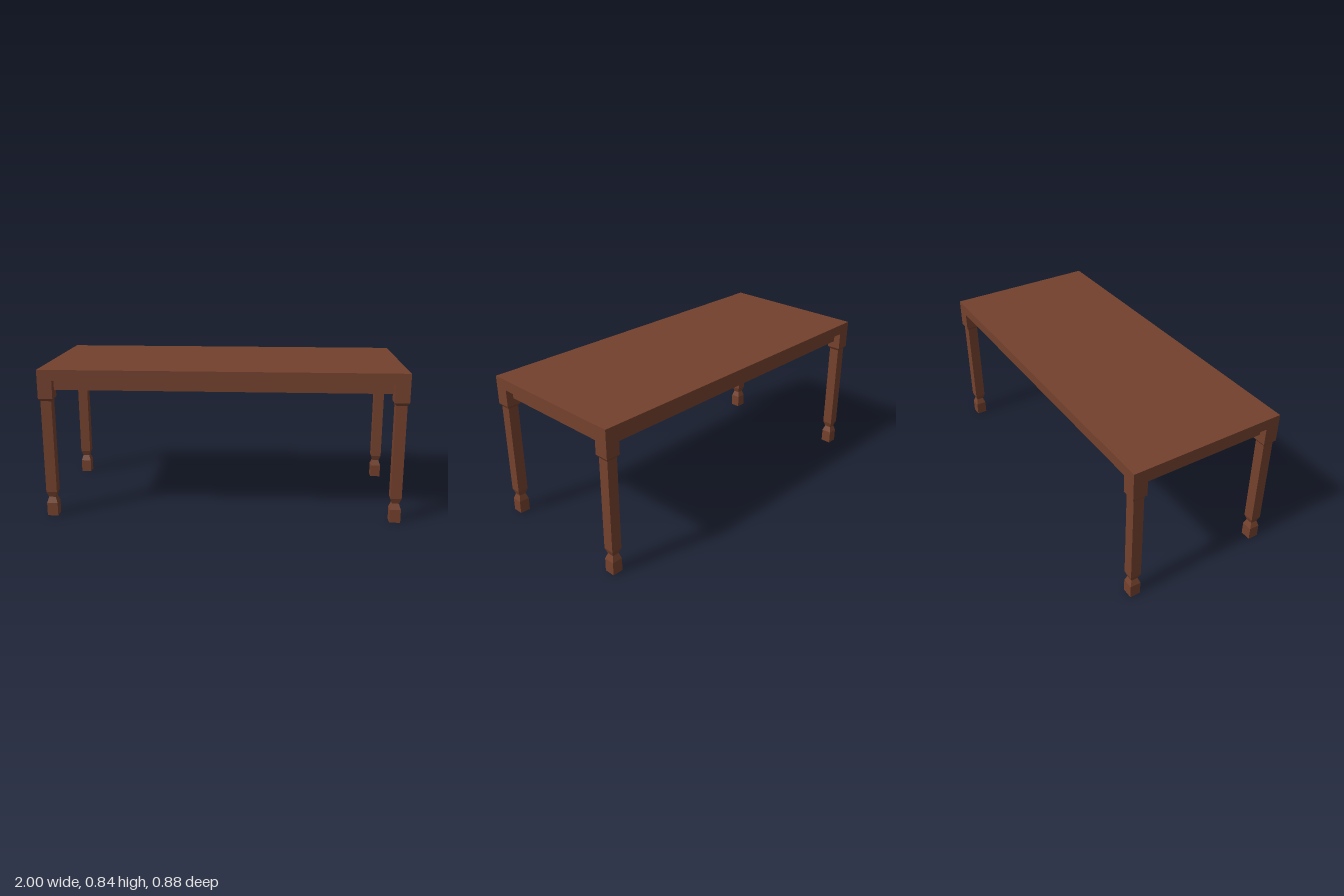
import * as THREE from 'three';

export function createModel() {
  const table = new THREE.Group();
  table.name = 'table';
  const wood = new THREE.MeshStandardMaterial({ color: 0x74412d, flatShading: true });
  wood.name = 'brown wood';

  const W = 2, D = 0.88, H = 0.84, underside = 0.78;
  const block = 0.08;            // width of the square block heading each leg
  const railH = 0.058, railT = 0.02, railInset = 0.05;

  function addBox(name, w, h, d, x, y, z) {
    const mesh = new THREE.Mesh(new THREE.BoxGeometry(w, h, d), wood);
    mesh.name = name;
    mesh.position.set(x, y, z);
    table.add(mesh);
  }

  addBox('tableTop', W, H - underside, D, 0, (H + underside) / 2, 0);

  // aprons, set back under the top between the leg blocks
  const railY = underside - railH / 2;
  for (const s of [1, -1]) {
    addBox(s > 0 ? 'frontApron' : 'backApron', W - 2 * block, railH, railT, 0, railY, s * (D / 2 - railInset));
    addBox(s > 0 ? 'leftApron' : 'rightApron', railT, railH, D - 2 * block, s * (W / 2 - railInset), railY, 0);
  }

  // square leg: foot, pinched ankle, shaft, then flared head block [half width, y]
  const profile = [
    [0, 0], [0.03, 0], [0.03, 0.075], [0.019, 0.108], [0.03, 0.14],
    [0.03, 0.665], [block / 2, 0.68], [block / 2, underside], [0, underside],
  ].map(([half, y]) => new THREE.Vector2(half * Math.SQRT2, y));
  const legGeometry = new THREE.LatheGeometry(profile, 4, Math.PI / 4);

  for (const sx of [1, -1]) {
    for (const sz of [1, -1]) {
      const leg = new THREE.Mesh(legGeometry, wood);
      leg.name = (sz > 0 ? 'front' : 'back') + (sx > 0 ? 'Left' : 'Right') + 'Leg';
      leg.position.set(sx * (W - block) / 2, 0, sz * (D - block) / 2);
      table.add(leg);
    }
  }
  return table;
}
